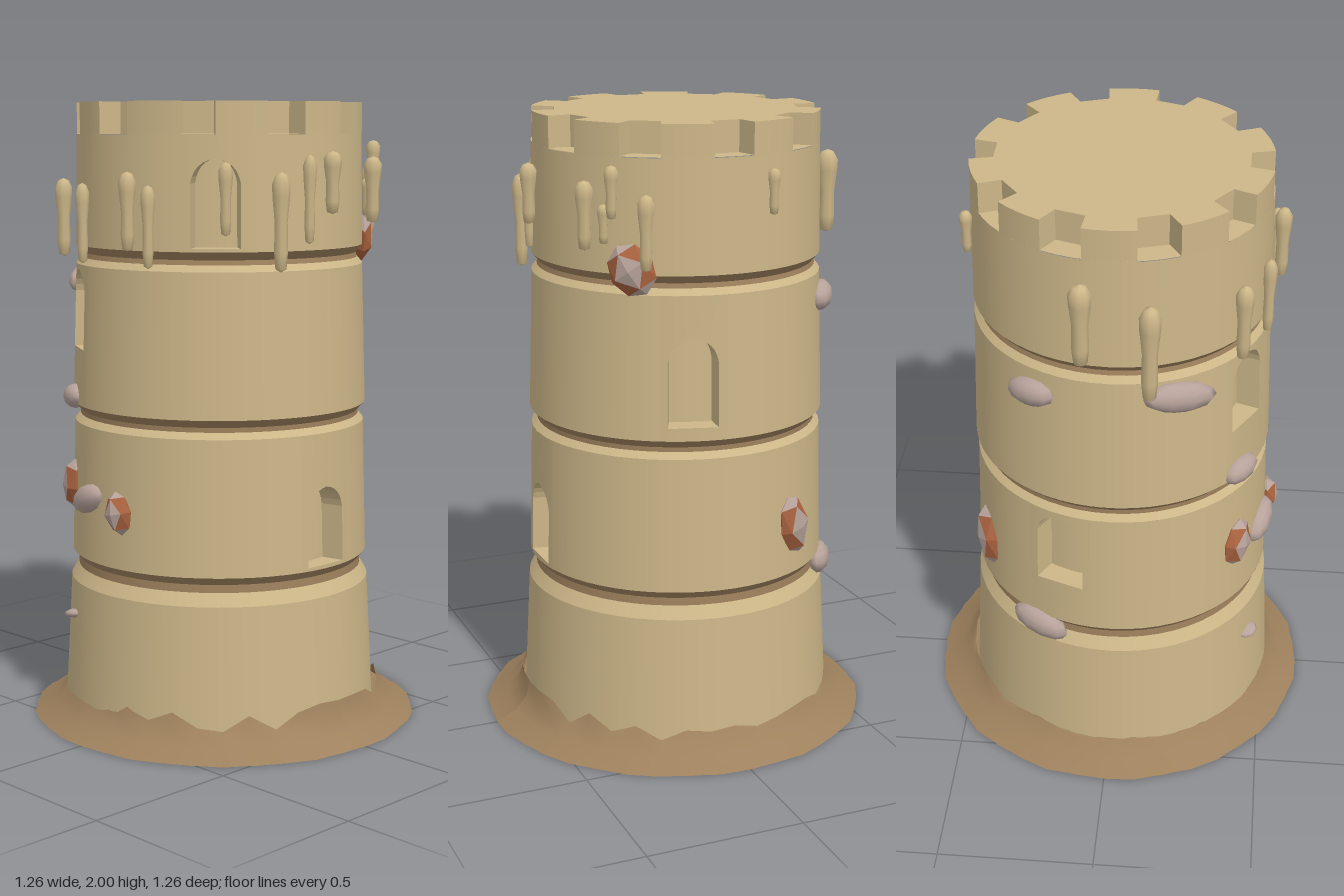
import * as THREE from 'three';

const sand = new THREE.MeshStandardMaterial({ color: 0xcdb789 });
const wetSand = new THREE.MeshStandardMaterial({ color: 0x9e815d });
const shellGrey = new THREE.MeshStandardMaterial({ color: 0xb8a39b });
const shellRed = new THREE.MeshStandardMaterial({ color: 0xa9623f });
sand.name = 'sand'; wetSand.name = 'wetSand'; shellGrey.name = 'shellGrey'; shellRed.name = 'shellRed';
const shellGreyFlat = shellGrey;

const RAD = Math.PI / 180, TAU = Math.PI * 2;
const W = 0.48;      // arc length per radian on window panels
const HALF = 0.22;   // half angle of a window panel
const DEPTH = 0.08;  // depth of window recesses

function add(parent, name, geometry, material) {
  const mesh = new THREE.Mesh(geometry, material);
  mesh.name = name;
  parent.add(mesh);
  return mesh;
}

// conical band of wall, from [radius, y] to [radius, y]
function band(parent, name, material, a, b, start = 0, length = TAU) {
  const pts = [new THREE.Vector2(...a), new THREE.Vector2(...b)];
  const n = Math.max(3, Math.round(length / TAU * 56));
  return add(parent, name, new THREE.LatheGeometry(pts, n, start, length), material);
}

// curved wall panel with an arched recess
function windowPanel(parent, a, b, az, y0, y1) {
  const radius = y => THREE.MathUtils.lerp(a[0], b[0], (y - a[1]) / (b[1] - a[1]));
  const w = HALF * W, shape = new THREE.Shape();
  for (let i = 0; i <= 8; i++) shape.lineTo(-w + w * i / 4, a[1]);
  for (let i = 0; i <= 8; i++) shape.lineTo(w - w * i / 4, b[1]);
  shape.curves.shift();
  const h = 0.08, hole = new THREE.Path();
  hole.moveTo(h, y0);
  hole.lineTo(-h, y0);
  hole.lineTo(-h, y1 - 0.075);
  hole.quadraticCurveTo(-h * 0.85, y1 - 0.01, 0, y1);
  hole.quadraticCurveTo(h * 0.85, y1 - 0.01, h, y1 - 0.075);
  hole.lineTo(h, y0);
  shape.holes.push(hole);
  const g = new THREE.ExtrudeGeometry(shape, { depth: DEPTH, bevelEnabled: false, curveSegments: 6 });
  const p = g.attributes.position, n = g.attributes.normal;
  for (let i = 0; i < p.count; i++) {
    const t = az + p.getX(i) / W, s = Math.sin(t), c = Math.cos(t);
    const r = radius(p.getY(i)) - DEPTH + p.getZ(i);
    const nx = n.getX(i), nz = n.getZ(i);
    p.setXYZ(i, s * r, p.getY(i), c * r);
    n.setXYZ(i, nx * c + nz * s, n.getY(i), -nx * s + nz * c);
  }
  add(parent, 'windowWall', g, sand);
  band(parent, 'windowBack', sand, [a[0] - DEPTH + 0.004, a[1]], [b[0] - DEPTH + 0.004, b[1]], az - HALF, HALF * 2);
}

// straight storey wall with window panels let in; windows are [degrees, bottom, top]
function storey(parent, a, b, windows) {
  if (!windows.length) return band(parent, 'storeyWall', sand, a, b);
  windows.forEach(([deg, y0, y1], i) => {
    const az = deg * RAD;
    const next = i + 1 < windows.length ? windows[i + 1][0] * RAD : windows[0][0] * RAD + TAU;
    windowPanel(parent, a, b, az, y0, y1);
    band(parent, 'storeyWall', sand, a, b, az + HALF, next - az - HALF * 2);
  });
}

// notched crown, solid up to the roof
function crownGeometry() {
  const shape = new THREE.Shape(), R = 0.458, r = 0.385;
  const at = (deg, q) => [Math.sin(deg * RAD) * q, -Math.cos(deg * RAD) * q];
  for (let k = 0; k < 10; k++) {
    for (let j = 0; j <= 4; j++) {
      const pt = at(k * 36 - 10 + j * 5, R);
      if (k + j === 0) shape.moveTo(...pt); else shape.lineTo(...pt);
    }
    shape.lineTo(...at(k * 36 + 11, r));
    shape.lineTo(...at(k * 36 + 25, r));
  }
  shape.closePath();
  const g = new THREE.ExtrudeGeometry(shape, { depth: 0.1, bevelEnabled: false });
  g.rotateX(-Math.PI / 2);
  // round the shading of the outer faces
  const p = g.attributes.position, n = g.attributes.normal;
  for (let i = 0; i < p.count; i++) {
    const x = p.getX(i), z = p.getZ(i), l = Math.hypot(x, z);
    if (l > 0.45 && (n.getX(i) * x + n.getZ(i) * z) / l > 0.95) n.setXYZ(i, x / l, 0, z / l);
  }
  return g;
}

// wet skirt of sand with an uneven rim and a ragged top edge
function skirtGeometry() {
  const profile = [[0.632, 0], [0.565, 0.035], [0.53, 0.075], [0.516, 0.12]];
  const seg = 40;
  const g = new THREE.LatheGeometry(profile.map(q => new THREE.Vector2(...q)), seg);
  const jag = [0.125, 0.125, 0.12, 0.07, 0.125, 0.08, 0.11, 0.065, 0.1, 0.09,
    0.1, 0.08, 0.09, 0.1, 0.1, 0.08, 0.09, 0.1, 0.09, 0.085,
    0.09, 0.1, 0.08, 0.09, 0.1, 0.09, 0.08, 0.1, 0.1, 0.09,
    0.1, 0.12, 0.09, 0.125, 0.08, 0.07, 0.12, 0.065, 0.115, 0.13];
  const p = g.attributes.position;
  for (let i = 0; i < p.count; i++) {
    const col = Math.floor(i / 4) % seg, row = i % 4;
    if (row === 3) p.setY(i, jag[col]);
    if (row === 0) {
      const k = 1 + 0.008 * Math.sin(col * 2.2);
      p.setX(i, p.getX(i) * k);
      p.setZ(i, p.getZ(i) * k);
    }
  }
  g.computeVertexNormals();
  return g;
}

// rounded drip of sand hanging on the wall
function drip(parent, x, z, y0, y1, r) {
  const h = y1 - y0;
  const pts = [[0, 0], [0.6, 0.03], [0.75, 0.2], [0.7, 0.5], [0.95, 0.75], [1, 0.88], [0.6, 0.97], [0, 1]];
  const g = new THREE.LatheGeometry(pts.map(([a, b]) => new THREE.Vector2(a * r, b * h)), 8);
  add(parent, 'sandDrip', g, sand).position.set(x, y0, z);
}

// place a shell flat against the wall
function placeShell(mesh, deg, y, r, w, h, tilt) {
  const t = deg * RAD;
  mesh.position.set(Math.sin(t) * r, y, Math.cos(t) * r);
  mesh.rotation.set(0, t, tilt, 'YXZ');
  mesh.scale.set(w / 2, h / 2, 0.04);
}

export function createModel() {
  const model = new THREE.Group();
  model.name = 'sandTower';

  // skirt and underside
  const skirt = add(model, 'wetSkirt', skirtGeometry(), wetSand);
  skirt.material.side = THREE.DoubleSide;
  add(model, 'underside', new THREE.CircleGeometry(0.63, 40).rotateX(Math.PI / 2), wetSand);

  const tower = new THREE.Group();
  tower.name = 'tower';
  tower.position.set(-0.01, 0, -0.012);
  model.add(tower);

  // storeys, each [bottom, top, lip, groove, windows]
  const storeys = [
    [[0.515, 0.01], [0.491, 0.46], [0.467, 0.5], [0.465, 0.525], []],
    [[0.485, 0.55], [0.473, 0.98], [0.455, 1.0], [0.455, 1.015], [[0, 0.56, 0.81], [160, 0.7, 0.965]]],
    [[0.478, 1.04], [0.464, 1.49], [0.447, 1.51], [0.443, 1.525], [[74, 1.08, 1.36], [240, 1.22, 1.475]]],
    [[0.464, 1.55], [0.458, 1.9], null, null, [[-46, 1.56, 1.83]]],
  ];
  storeys.forEach(([a, b, lip, groove, windows], i) => {
    storey(tower, a, b, windows);
    if (!lip) return;
    band(tower, 'storeyLip', sand, b, lip);
    band(tower, 'wetGroove', wetSand, lip, groove);
    band(tower, 'wetLedge', wetSand, groove, storeys[i + 1][0]);
  });

  // battlements and roof
  add(tower, 'battlements', crownGeometry(), sand).position.y = 1.9;
  add(tower, 'notchFloor', new THREE.CircleGeometry(0.458, 56).rotateX(-Math.PI / 2), sand).position.y = 1.902;

  // drips: x, z, bottom, top, radius
  [
    [-0.13, -0.505, 1.46, 1.78, 0.033], [0.07, -0.515, 1.58, 1.85, 0.035], [0.45, -0.14, 1.72, 1.86, 0.02],
    [0.415, 0.26, 1.57, 1.8, 0.027], [0.34, 0.34, 1.72, 1.88, 0.023], [0.30, 0.35, 1.64, 1.76, 0.02],
    [0.27, 0.40, 1.62, 1.83, 0.029], [-0.01, 0.48, 1.66, 1.85, 0.028], [-0.085, 0.455, 1.57, 1.84, 0.021],
    [-0.2, 0.445, 1.49, 1.79, 0.028], [-0.34, 0.35, 1.6, 1.82, 0.022], [-0.48, 0.16, 1.5, 1.75, 0.022],
    [-0.5, 0.09, 1.55, 1.79, 0.027], [-0.465, -0.16, 1.5, 1.75, 0.022], [-0.395, -0.335, 1.51, 1.76, 0.028],
  ].forEach(d => drip(model, ...d));

  // plain shells: degrees, y, radius, width, height, tilt
  [
    [149, 1.41, 0.47, 0.17, 0.09, 0.1], [151, 0.51, 0.48, 0.21, 0.1, -0.1], [206, 1.43, 0.47, 0.24, 0.1, -0.15],
    [236, 1.06, 0.475, 0.15, 0.08, 0.1], [255, 0.75, 0.48, 0.18, 0.09, 0.35], [243, 0.35, 0.49, 0.08, 0.03, 0.2],
  ].forEach(s => placeShell(add(tower, 'shell', new THREE.SphereGeometry(1, 10, 6), shellGrey), ...s));

  // patterned shells with alternating faces
  [
    [51, 1.565, 0.465, 0.15, 0.17, 0.6], [119, 0.71, 0.48, 0.13, 0.21, 0.3],
    [235, 0.77, 0.48, 0.12, 0.17, -0.2], [275, 0.73, 0.485, 0.1, 0.14, 0.2],
  ].forEach(s => {
    const g = new THREE.OctahedronGeometry(1, 1);
    g.computeVertexNormals();
    for (let f = 0; f < g.attributes.position.count / 3; f++) g.addGroup(f * 3, 3, f % 4 < 2 ? 0 : 1);
    placeShell(add(tower, 'patternedShell', g, [shellRed, shellGreyFlat]), ...s);
  });

  return model;
}
